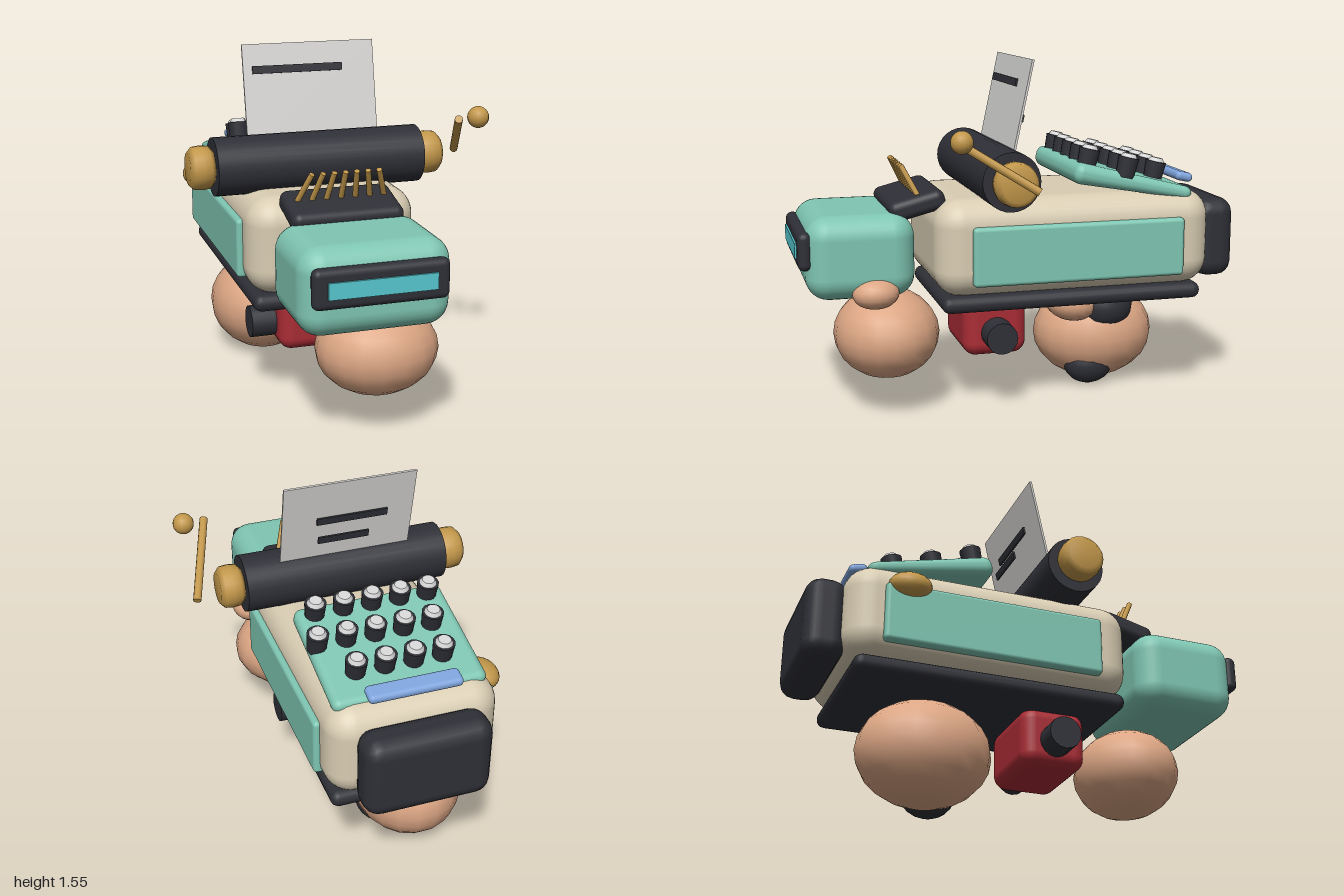
import * as THREE from 'three';
import { RoundedBoxGeometry } from 'three/addons/geometries/RoundedBoxGeometry.js';

const CX = -0.065; // centre line of the machine

function paint(name, color) {
  const m = new THREE.MeshStandardMaterial({ color });
  m.name = name;
  return m;
}

export function createModel() {
  const cream = paint('cream', 0xd9cdb3);
  const teal = paint('teal', 0x7fc6b2);
  const dark = paint('charcoal', 0x2f3037);
  const gold = paint('brass', 0xc2974a);
  const skin = paint('potato', 0xdca684);
  const red = paint('red', 0xa92c35);
  const blue = paint('blue', 0x7fa4dc);
  const cyan = paint('screenCyan', 0x56c8d0);
  const white = paint('paperWhite', 0xd8d7d5);
  const silver = paint('keySilver', 0xd6d6d6);

  const model = new THREE.Group();
  model.name = 'typewriterCreature';

  const add = (name, geo, mat, x, y, z, parent = model) => {
    const mesh = new THREE.Mesh(geo, mat);
    mesh.name = name;
    mesh.position.set(x, y, z);
    parent.add(mesh);
    return mesh;
  };
  const rbox = (name, mat, [w, h, d], r, [x, y, z], seg = 4) =>
    add(name, new RoundedBoxGeometry(w, h, d, seg, r), mat, x, y, z);
  const blob = (name, mat, [rx, ry, rz], [x, y, z]) => {
    const mesh = add(name, new THREE.SphereGeometry(1, 18, 12), mat, x, y, z);
    mesh.scale.set(rx, ry, rz);
    return mesh;
  };
  const rod = (name, mat, a, b, r) => {
    const p = new THREE.Vector3(...a), q = new THREE.Vector3(...b);
    const dir = q.clone().sub(p);
    const mid = p.clone().add(q).multiplyScalar(0.5);
    const mesh = add(name, new THREE.CylinderGeometry(r, r, dir.length(), 10), mat, mid.x, mid.y, mid.z);
    mesh.quaternion.setFromUnitVectors(new THREE.Vector3(0, 1, 0), dir.normalize());
    return mesh;
  };

  // Body, base, side panels and rear block
  rbox('body', cream, [0.745, 0.43, 1.26], 0.12, [CX, 0.755, -0.22]);
  rbox('base', dark, [0.705, 0.074, 1.19], 0.036, [CX, 0.512, -0.21], 2);
  for (const s of [-1, 1])
    rbox('sidePanel', teal, [0.05, 0.26, 0.96], 0.018, [CX + s * 0.373, 0.73, -0.22]);
  rbox('rearBlock', dark, [0.55, 0.365, 0.18], 0.07, [CX, 0.73, -0.91], 2);

  // Head with framed screen
  rbox('head', teal, [0.63, 0.365, 0.47], 0.1, [CX, 0.732, 0.722]);
  rbox('screenFrame', dark, [0.56, 0.165, 0.06], 0.028, [CX, 0.77, 0.96], 3);
  add('screen', new THREE.BoxGeometry(0.445, 0.068, 0.009), cyan, CX, 0.769, 0.9935);

  // Type basket and fan of type bars
  rbox('typeBasket', dark, [0.48, 0.09, 0.25], 0.035, [CX, 0.937, 0.467]).rotation.x = 0.25;
  for (let i = -3; i <= 3; i++)
    rod('typeBar', gold, [CX + i * 0.064, 0.97, 0.457], [CX + i * 0.048, 1.105, 0.525], 0.012);

  // Platen roller with a knob on each end
  add('platen', new THREE.CylinderGeometry(0.127, 0.127, 0.925, 28), dark, CX, 1.062, 0.112)
    .rotation.z = Math.PI / 2;
  const knobProfile = [[0, -0.055], [0.07, -0.055], [0.092, -0.035], [0.096, 0], [0.092, 0.035], [0.07, 0.055], [0, 0.055]]
    .map(([r, h]) => new THREE.Vector2(r, h));
  for (const s of [-1, 1])
    add('platenKnob', new THREE.LatheGeometry(knobProfile, 20), gold, CX + s * 0.516, 1.062, 0.11)
      .rotation.z = Math.PI / 2;

  // Return lever
  rod('leverRod', gold, [0.612, 1.053, 0.052], [0.488, 1.262, 0.385], 0.018);
  add('leverBall', new THREE.SphereGeometry(0.047, 16, 12), gold, 0.585, 1.262, 0.368);

  // Sheet of paper with printed lines
  const tilt = -0.21;
  add('paper', new THREE.BoxGeometry(0.595, 0.47, 0.01), white, -0.0625, 1.33, 0.023).rotation.x = tilt;
  for (const [w, y, z] of [[0.405, 1.452, 0.008], [0.32, 1.375, -0.009], [0.23, 1.293, -0.022]])
    add('textLine', new THREE.BoxGeometry(w, 0.034, 0.008), dark, 0.085 - w / 2, y, z).rotation.x = tilt;

  // Keyboard deck, thinner toward the rear
  const deck = new RoundedBoxGeometry(0.667, 0.075, 0.56, 4, 0.035);
  const p = deck.attributes.position;
  for (let i = 0; i < p.count; i++) p.setY(i, p.getY(i) * (1 + p.getZ(i)));
  add('keyboardDeck', deck, teal, CX, 1.01, -0.487).rotation.x = -0.21;

  // Round keys in three staggered rows
  const stem = new THREE.CylinderGeometry(0.047, 0.041, 0.09, 14);
  const cap = new THREE.CylinderGeometry(0.027, 0.038, 0.018, 14);
  for (const [z, x0, n] of [[-0.281, -0.315, 5], [-0.447, -0.27, 5], [-0.617, -0.25, 4]])
    for (let i = 0; i < n; i++) {
      const key = new THREE.Group();
      key.name = 'key';
      key.position.set(x0 + i * 0.126, 1.1 + 0.229 * (z + 0.23), z);
      key.rotation.x = -0.225;
      add('keyStem', stem, dark, 0, 0.033, 0, key);
      add('keyCap', cap, silver, 0, 0.086, 0, key);
      model.add(key);
    }
  rbox('spaceBar', blue, [0.405, 0.042, 0.082], 0.02, [CX, 1.01, -0.775]).rotation.x = -0.22;

  // Brass knob on the flank
  blob('sideKnob', gold, [0.075, 0.056, 0.092], [-0.447, 0.862, -0.597]).rotation.z = 0.2;

  // Red motor box with an axle stub on each side
  rbox('motorBox', red, [0.41, 0.265, 0.29], 0.06, [CX, 0.365, 0.115]);
  add('axle', new THREE.CylinderGeometry(0.071, 0.071, 0.63, 16), dark, CX, 0.343, 0.115)
    .rotation.z = Math.PI / 2;

  // Lumpy feet with bumps and dark patches
  blob('frontFoot', skin, [0.265, 0.2, 0.234], [0.05, 0.36, 0.597]);
  blob('frontFootBump', skin, [0.085, 0.068, 0.102], [0.222, 0.58, 0.668]);
  blob('rearFoot', skin, [0.245, 0.226, 0.288], [-0.18, 0.236, -0.442]);
  blob('rearFootBump', skin, [0.095, 0.08, 0.122], [-0.01, 0.415, -0.277]).rotation.x = -0.25;
  blob('upperPatch', dark, [0.11, 0.112, 0.13], [-0.04, 0.388, -0.458]);
  blob('lowerPatch', dark, [0.09, 0.098, 0.118], [-0.06, 0.105, -0.385]);

  return model;
}
